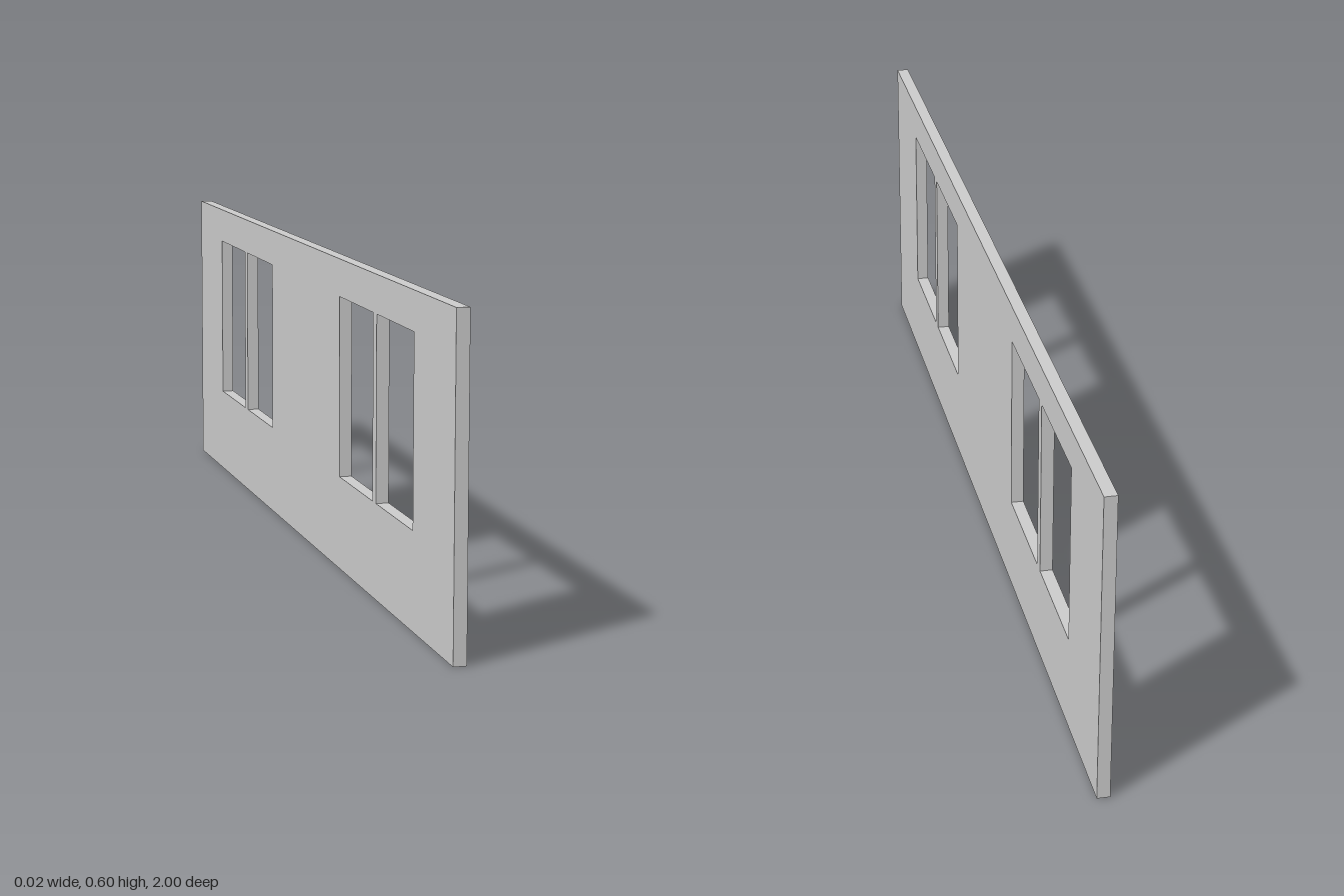
import * as THREE from 'three';

const LENGTH = 2, HEIGHT = 0.6, THICKNESS = 0.024;
const SILL = 0.18, HEAD = 0.528;
const PANE = 0.234, MULLION = 0.024;

// Closed rectangle, as an outline or a hole
function rectangle(Type, x0, y0, x1, y1) {
  return new Type([
    new THREE.Vector2(x0, y0), new THREE.Vector2(x1, y0),
    new THREE.Vector2(x1, y1), new THREE.Vector2(x0, y1),
  ]);
}

export function createModel() {
  const group = new THREE.Group();
  group.name = 'windowWall';

  // Wall outline, drawn along its length
  const outline = rectangle(THREE.Shape, -LENGTH / 2, 0, LENGTH / 2, HEIGHT);

  // Two pairs of openings, each split by a narrow mullion
  for (const centre of [-0.516, 0.526]) {
    for (const side of [-1, 1]) {
      const middle = centre + side * (PANE + MULLION) / 2;
      outline.holes.push(rectangle(THREE.Path, middle - PANE / 2, SILL, middle + PANE / 2, HEAD));
    }
  }

  // Give the wall its thickness and turn its length along z
  const geometry = new THREE.ExtrudeGeometry(outline, { depth: THICKNESS, bevelEnabled: false });
  geometry.translate(0, 0, -THICKNESS / 2);
  geometry.rotateY(Math.PI / 2);

  const wall = new THREE.Mesh(geometry, new THREE.MeshStandardMaterial({ color: 0xcccccc }));
  wall.name = 'wallPanel';
  group.add(wall);
  return group;
}
